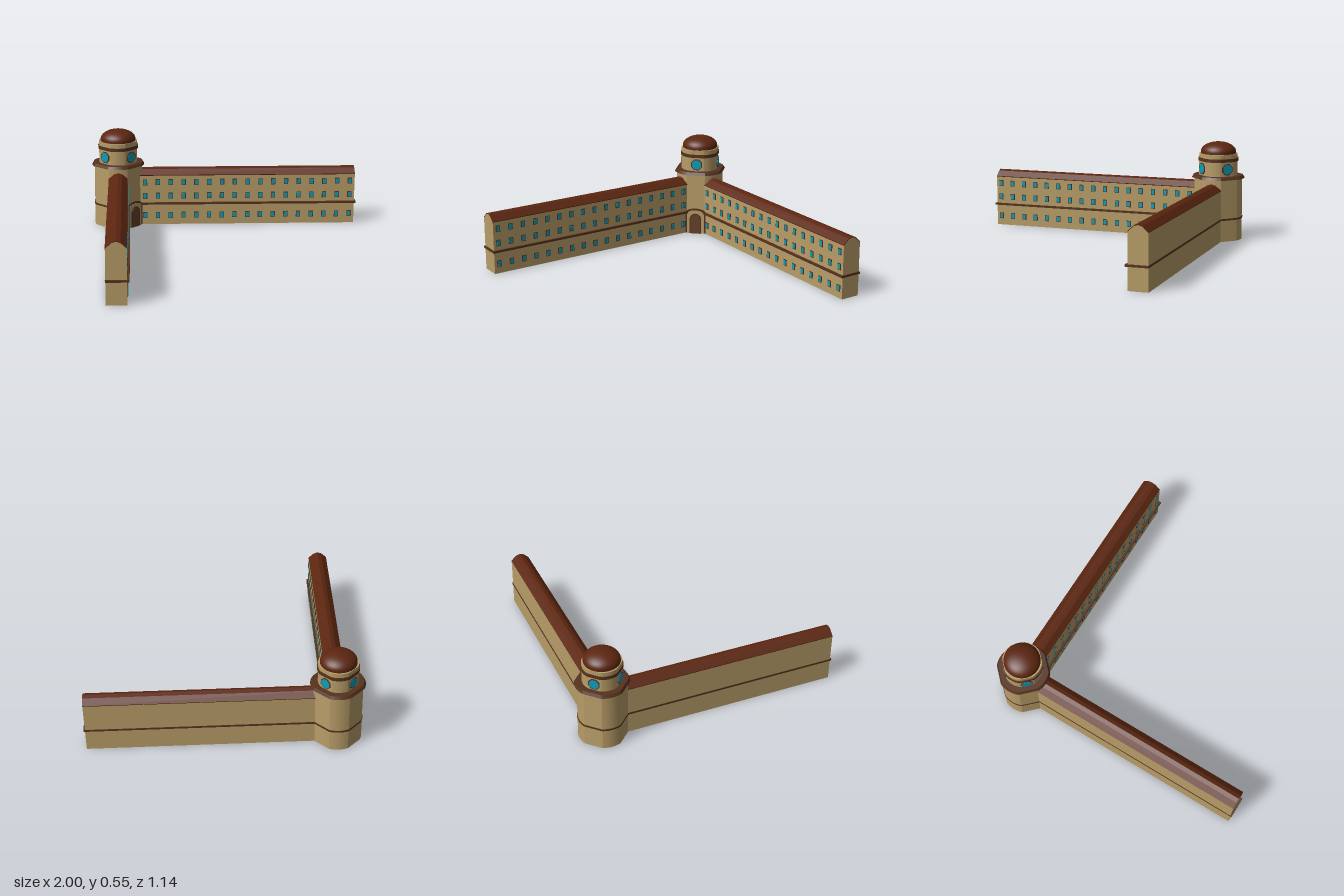
import * as THREE from 'three';
import { mergeGeometries, toCreasedNormals } from 'three/addons/utils/BufferGeometryUtils.js';

const material = (name, color) => new THREE.MeshStandardMaterial({ name, color });

export function createModel() {
  const stone = material('sandstone', 0xb89d68);
  const tile = material('roof tile', 0x5c2610);
  const trim = material('brown trim', 0x56321e);
  const wood = material('door wood', 0x69402a);
  const glass = material('teal glass', 0x0c9db8);

  const model = new THREE.Group();
  const add = (parent, name, geometry, mat, x = 0, y = 0, z = 0) => {
    const mesh = new THREE.Mesh(geometry, mat);
    mesh.name = name;
    mesh.position.set(x, y, z);
    parent.add(mesh);
    return mesh;
  };
  const box = (w, h, d, x, y, z) => new THREE.BoxGeometry(w, h, d).translate(x, y, z);
  const extrude = (shape, depth) =>
    new THREE.ExtrudeGeometry(shape, { depth, bevelEnabled: false, curveSegments: 16 });
  const polygon = (pts) => new THREE.Shape(pts.map(([x, y]) => new THREE.Vector2(x, y)));

  // Upright drum: a circle cut flat on four sides, optionally tapering
  const drum = (half, radius, y0, y1, topScale = 1) => {
    const pts = [];
    for (let i = 0; i < 48; i++) {
      const a = (i / 48) * Math.PI * 2;
      pts.push([
        THREE.MathUtils.clamp(Math.cos(a) * radius, -half, half),
        THREE.MathUtils.clamp(Math.sin(a) * radius, -half, half)
      ]);
    }
    const geo = extrude(polygon(pts), y1 - y0).rotateX(-Math.PI / 2);
    const p = geo.attributes.position;
    for (let i = 0; i < p.count; i++) {
      if (p.getY(i) > (y1 - y0) / 2) p.setXYZ(i, p.getX(i) * topScale, p.getY(i), p.getZ(i) * topScale);
    }
    return toCreasedNormals(geo.translate(0, y0, 0), 0.25);
  };

  // Arched panel outline standing on y = 0
  const arch = (half, spring, top) => {
    const s = new THREE.Shape();
    s.moveTo(-half, 0);
    s.lineTo(half, 0);
    s.lineTo(half, spring);
    s.absellipse(0, spring, half, top - spring, 0, Math.PI, false, 0);
    s.lineTo(-half, 0);
    return s;
  };

  const towerZ = -0.44, hw = 0.0525, wingLength = 1.352;

  // Wings: long gabled blocks; side is the local z direction of the windowed face
  const buildWing = (name, angle, side) => {
    const wing = new THREE.Group();
    wing.name = name;
    wing.position.z = towerZ;
    wing.rotation.y = angle;
    model.add(wing);

    const start = 0.03, length = wingLength - start;
    const along = (shape) => extrude(shape, length).rotateY(Math.PI / 2).translate(start, 0, 0);
    const slope = [[hw, 0.288], [0.022, 0.316], [0, 0.323], [-0.022, 0.316], [-hw, 0.288]];
    add(wing, 'wingWalls', along(polygon([[-hw, 0], [hw, 0], ...slope])), stone);
    const cover = slope.map(([x, y]) => [x * 1.02, y + 0.004]).reverse();
    add(wing, 'wingRoof', along(polygon([...slope, ...cover])), tile);

    // String course, standing out most on the windowed face and the end
    const inner = 0.012, outer = 0.002, end = 0.008;
    add(wing, 'wingBand',
      box(length + end, 0.011, hw * 2 + inner + outer, start + (length + end) / 2, 0.125, side * (inner - outer) / 2), trim);

    // Three rows of windows
    const frames = [], panes = [];
    for (const y of [0.055, 0.17, 0.25]) {
      for (let i = 0; i < 17; i++) {
        const x = 0.1515 + i * 0.0733;
        frames.push(box(0.025, 0.035, 0.004, x, y, side * (hw + 0.001)));
        panes.push(box(0.018, 0.028, 0.004, x, y, side * (hw + 0.0025)));
      }
    }
    add(wing, 'windowFrames', mergeGeometries(frames), trim);
    add(wing, 'windowPanes', mergeGeometries(panes), glass);
  };
  buildWing('leftWing', -Math.PI / 4, 1);
  buildWing('rightWing', -Math.PI * 0.75, -1);

  // Tower at the meeting of the wings
  const tower = new THREE.Group();
  tower.name = 'tower';
  tower.position.z = towerZ;
  model.add(tower);
  add(tower, 'towerBody', drum(0.125, 0.135, 0, 0.35), stone);
  add(tower, 'towerBand', drum(0.128, 0.138, 0.12, 0.13), trim);
  add(tower, 'towerLedge', drum(0.137, 0.148, 0.348, 0.364, 0.94), trim);
  add(tower, 'clockDrum', drum(0.102, 0.108, 0.36, 0.486), stone);
  add(tower, 'drumRing', drum(0.106, 0.113, 0.444, 0.462), trim);

  // Flattened dome
  const dome = [[0.099, 0], [0.099, 0.012]];
  for (let i = 1; i <= 12; i++) {
    const a = (i / 12) * Math.PI / 2;
    dome.push([Math.max(0.099 * Math.cos(a), 0), 0.012 + 0.055 * Math.sin(a)]);
  }
  add(tower, 'dome', new THREE.LatheGeometry(dome.map(([x, y]) => new THREE.Vector2(x, y)), 40), tile, 0, 0.483, 0);

  // Round teal lights on the four flat sides of the drum
  const disc = (r, depth, z) =>
    new THREE.CylinderGeometry(r, r, depth, 8).rotateY(Math.PI / 8).rotateX(Math.PI / 2).translate(0, 0, z);
  for (let i = 0; i < 4; i++) {
    const dial = new THREE.Group();
    dial.name = 'roundWindow';
    dial.position.y = 0.403;
    dial.rotation.y = i * Math.PI / 2;
    tower.add(dial);
    add(dial, 'roundFrame', disc(0.034, 0.008, 0.102), trim);
    add(dial, 'roundPane', disc(0.029, 0.008, 0.1035), glass);
  }

  // Arched entrance filling the gap between the wings
  const portal = new THREE.Group();
  portal.name = 'portal';
  portal.position.z = towerZ + 0.12;
  tower.parent.add(portal);
  add(portal, 'portalEdge', extrude(arch(0.058, 0.122, 0.147), 0.013), trim);
  add(portal, 'portalPanel', extrude(arch(0.05, 0.115, 0.138), 0.015), stone);
  add(portal, 'doorFrame', extrude(arch(0.034, 0.085, 0.119), 0.018), trim);
  add(portal, 'door', extrude(arch(0.028, 0.085, 0.113), 0.02), wood);

  return model;
}
